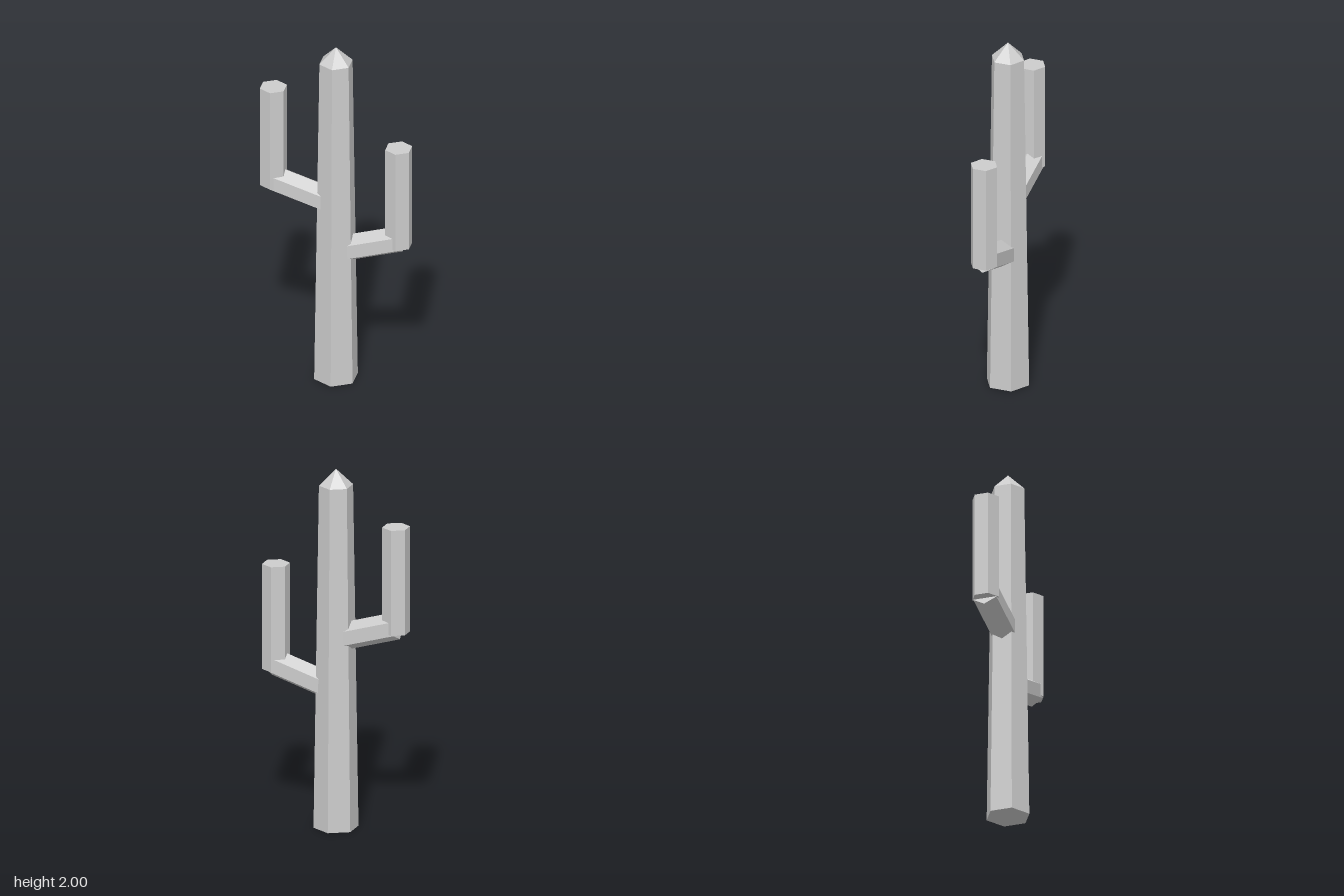
import * as THREE from 'three';

export function createModel() {
  const model = new THREE.Group();
  model.name = 'cactus';
  const grey = new THREE.MeshStandardMaterial({ color: 0xcccccc, flatShading: true });
  grey.name = 'pale grey';

  // Six-sided prism with its lower end at the origin, edges facing +z and -z
  function hexPart(name, topRadius, bottomRadius, height, parent) {
    const geometry = new THREE.CylinderGeometry(topRadius, bottomRadius, height, 6);
    geometry.translate(0, height / 2, 0);
    const mesh = new THREE.Mesh(geometry, grey);
    mesh.name = name;
    parent.add(mesh);
    return mesh;
  }

  // Tapered trunk and pointed tip
  hexPart('trunk', 0.092, 0.121, 1.91, model);
  const tip = new THREE.Mesh(new THREE.ConeGeometry(0.092, 0.09, 6), grey);
  tip.name = 'trunkTip';
  tip.position.y = 1.955;
  model.add(tip);

  // Each arm: a sloping branch from inside the trunk and an upright end
  const reach = 0.342, slope = 0.3, radius = 0.075;
  function addArm(name, side, elbowY) {
    const arm = new THREE.Group();
    arm.name = name;
    model.add(arm);

    const branch = new THREE.Mesh(
      new THREE.CylinderGeometry(radius, radius, reach / Math.cos(slope), 6).rotateY(Math.PI / 6),
      grey
    );
    branch.name = name + 'Branch';
    // Turn the prism so that one edge runs along its top and one along its bottom
    branch.geometry.rotateY(Math.PI / 3);
    branch.rotation.z = -side * (Math.PI / 2 - slope);
    branch.position.set(side * reach / 2, elbowY - reach * Math.tan(slope) / 2, 0);
    arm.add(branch);

    const upright = hexPart(name + 'Upright', radius, radius, 0.587, arm);
    upright.position.set(side * reach, elbowY - 0.033, 0);
  }
  addArm('leftArm', 1, 0.877);
  addArm('rightArm', -1, 1.162);

  return model;
}
